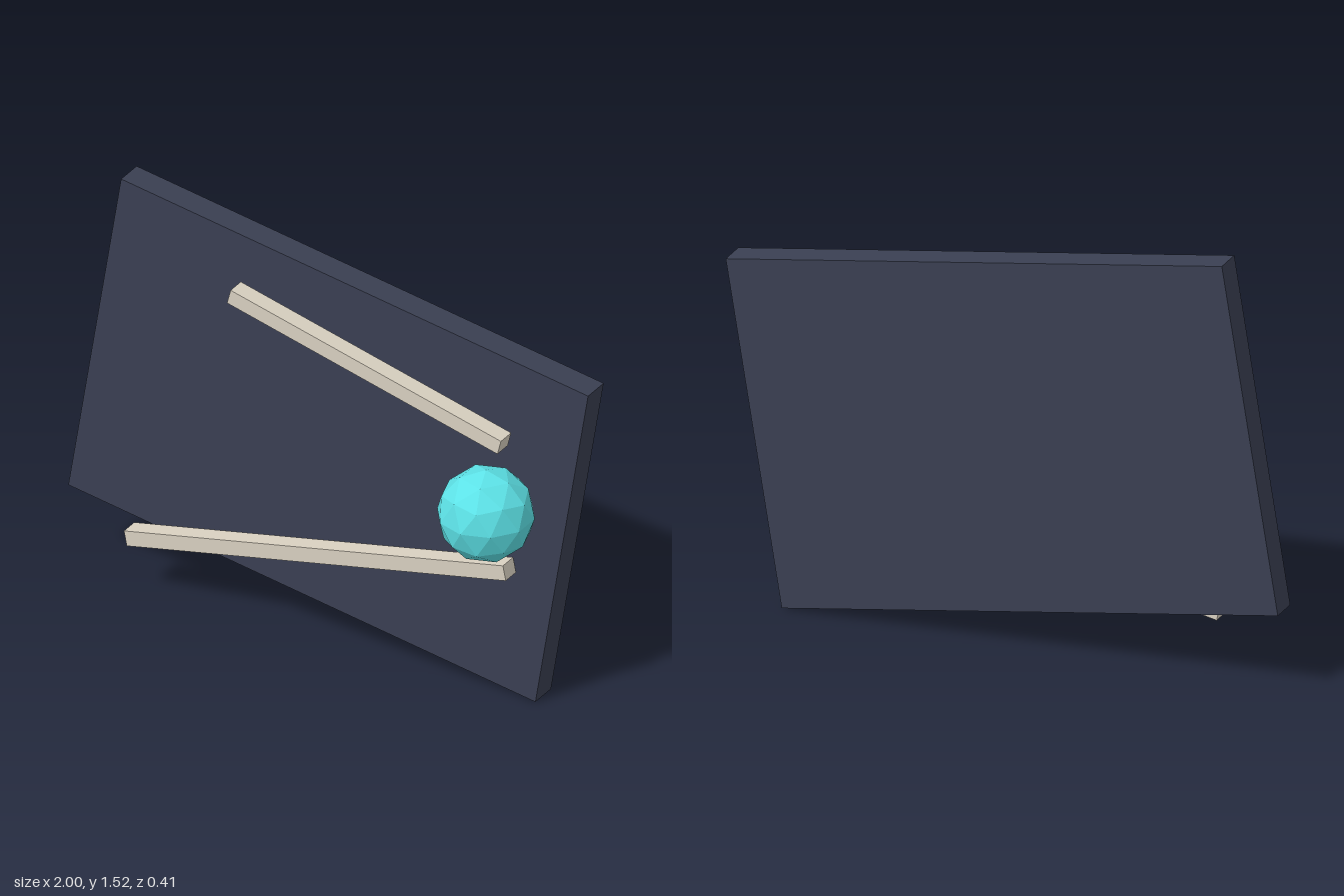
import * as THREE from 'three';

const material = (color) => new THREE.MeshStandardMaterial({ color, flatShading: true });

export function createModel() {
  const model = new THREE.Group();

  const add = (name, geometry, mat, position, angle = 0) => {
    const mesh = new THREE.Mesh(geometry, mat);
    mesh.name = name;
    mesh.position.set(...position);
    mesh.rotation.z = angle;
    model.add(mesh);
  };

  const rad = THREE.MathUtils.degToRad;
  const railMaterial = material(0xd8d0c0);

  // Tilted backing board
  add('backPanel', new THREE.BoxGeometry(1.819, 1.24, 0.1), material(0x3a3f52), [0, 0.764, -0.155], rad(-9.4));

  // Two converging rails in front of the board
  add('upperRail', new THREE.BoxGeometry(1.073, 0.054, 0.066), railMaterial, [0.196, 1.13, -0.04], rad(-14.5));
  add('lowerRail', new THREE.BoxGeometry(1.486, 0.055, 0.066), railMaterial, [-0.003, 0.364, -0.057], rad(11.5));

  // Faceted ball, turned so a corner points straight up
  add('ball', new THREE.IcosahedronGeometry(0.165, 1), material(0x5ce1e6), [0.694, 0.764, 0.042], rad(-31.72));

  return model;
}
